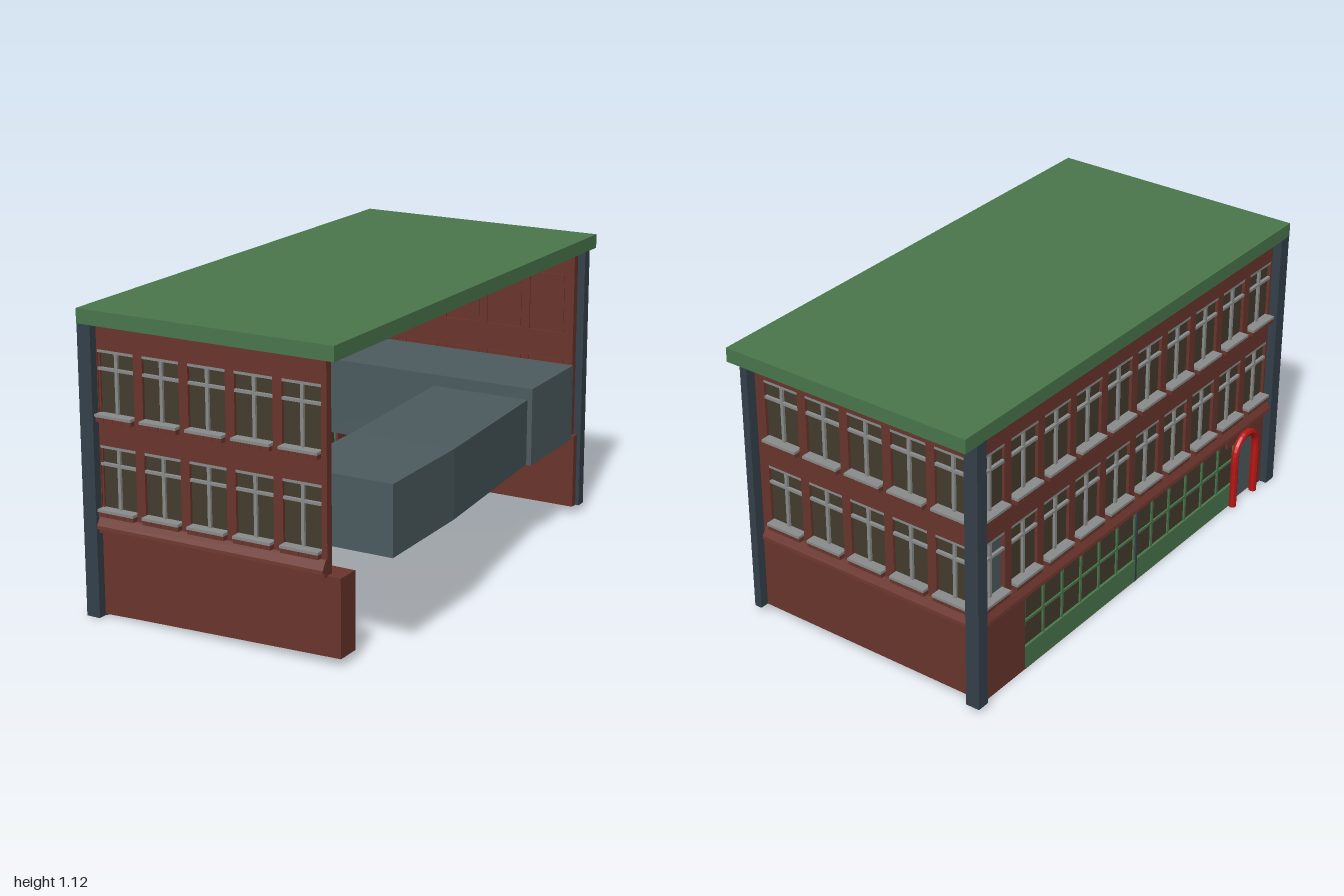
import * as THREE from 'three';

const mat = (color) => new THREE.MeshStandardMaterial({ color, side: THREE.DoubleSide, flatShading: true });
const BRICK = mat(0x6a352c), GREEN = mat(0x4a774d), STEEL = mat(0x35414b), DUCT = mat(0x4d5c60);
const GLASS = mat(0x443c2e), FRAME = mat(0x8a8c8c), RED = mat(0xb81616);

function add(parent, name, geo, material) {
  const m = new THREE.Mesh(geo, material);
  m.name = name;
  parent.add(m);
  return m;
}

// Box given by its min and max on each axis
function box(parent, name, material, x0, x1, y0, y1, z0, z1) {
  const m = add(parent, name, new THREE.BoxGeometry(x1 - x0, y1 - y0, z1 - z0), material);
  m.position.set((x0 + x1) / 2, (y0 + y1) / 2, (z0 + z1) / 2);
  return m;
}

function extrude(points, depth) {
  const shape = new THREE.Shape(points.map(([x, y]) => new THREE.Vector2(x, y)));
  return new THREE.ExtrudeGeometry(shape, { depth, bevelEnabled: false });
}

// Profile in (outward, up), swept along x from x0 to x1
function moulding(parent, name, profile, x0, x1) {
  const geo = extrude(profile.map(([o, y]) => [-o, y]), x1 - x0);
  geo.rotateY(Math.PI / 2); // sweep runs along +x, -o becomes +z
  const m = add(parent, name, geo, BRICK);
  m.position.x = x0;
}

const W = 0.15, T = 0.03; // window width, wall thickness
const FLOORS = [[0.395, 0.632], [0.74, 0.975]];

// Window in wall space: outer face z = 0, outside towards +z
function addWindow(wall, c, y0, y1, glazed, backed) {
  const g = new THREE.Group();
  g.name = 'window';
  wall.add(g);
  const a = c - W / 2, b = c + W / 2, tr = y1 - 0.068;
  if (glazed) box(g, 'pane', GLASS, a, b, y0, y1, -0.02, -0.012);
  if (backed) box(g, 'windowBack', BRICK, a + 0.002, b - 0.002, y0 + 0.002, y1 - 0.002, -0.029, -0.021);
  box(g, 'mullion', FRAME, c - 0.006, c + 0.006, y0, y1, -0.012, -0.002);
  for (const y of [y1 - 0.005, tr]) box(g, 'transom', FRAME, a, b, y - 0.005, y + 0.005, -0.012, 0);
  box(g, 'sill', FRAME, a, b, y0, y0 + 0.01, -0.012, 0.028);
  // Brick course below the sill
  for (let i = 0; i < 4; i++) {
    const s = a + i * W / 4;
    box(g, 'sillBrick', BRICK, s + 0.001, s + W / 4 - 0.001, y0 - 0.017, y0, -0.005, 0.024);
  }
}

// Upper two storeys with their windows and ledge
function upperWall(name, x0, x1, centres, open = () => false, bare = () => false) {
  const wall = new THREE.Group();
  wall.name = name;
  const shape = new THREE.Shape([[x0, 0.32], [x1, 0.32], [x1, 1.066], [x0, 1.066]].map(p => new THREE.Vector2(...p)));
  FLOORS.forEach(([y0, y1]) => centres.forEach(c => {
    shape.holes.push(new THREE.Path([[c - W / 2, y0], [c - W / 2, y1], [c + W / 2, y1], [c + W / 2, y0]]
      .map(p => new THREE.Vector2(...p))));
  }));
  const geo = new THREE.ExtrudeGeometry(shape, { depth: T, bevelEnabled: false });
  geo.translate(0, 0, -T);
  add(wall, 'brickwork', geo, BRICK);
  FLOORS.forEach(([y0, y1], f) => centres.forEach((c, i) => addWindow(wall, c, y0, y1, !open(i, f), !bare(i))));
  const ledge = [[0, 0.315], [0.018, 0.315], [0.018, 0.333], [0.032, 0.333], [0.03, 0.345], [0.01, 0.378], [0, 0.378]];
  moulding(wall, 'ledge', ledge, x0 + 0.02, x1);
  return wall;
}

// Hollow-looking passage through rectangular sections [z, x0, x1, y0, y1]
function passage(sections) {
  const pos = [], idx = [];
  sections.forEach(([z, x0, x1, y0, y1]) => pos.push(x0, y0, z, x1, y0, z, x1, y1, z, x0, y1, z));
  const n = sections.length;
  for (let s = 0; s < n - 1; s++) for (let k = 0; k < 4; k++) {
    const a = s * 4 + k, b = s * 4 + (k + 1) % 4;
    idx.push(a, a + 4, b, b, a + 4, b + 4);
  }
  const e = (n - 1) * 4;
  idx.push(0, 1, 2, 0, 2, 3, e, e + 2, e + 1, e, e + 3, e + 2);
  const geo = new THREE.BufferGeometry();
  geo.setAttribute('position', new THREE.Float32BufferAttribute(pos, 3));
  geo.setIndex(idx);
  const flat = geo.toNonIndexed();
  flat.computeVertexNormals();
  return flat;
}

export function createModel() {
  const g = new THREE.Group();
  g.name = 'building';

  // Roof slab and corner columns
  box(g, 'roof', GREEN, -0.585, 0.44, 1.066, 1.12, -1, 1);
  box(g, 'frontColumn', STEEL, -0.585, -0.53, 0, 1.068, 0.945, 0.998);
  box(g, 'backColumn', STEEL, -0.585, -0.53, 0.02, 1.068, -0.94, -0.89);
  box(g, 'backColumn', STEEL, 0.41, 0.44, 0.03, 1.068, -0.94, -0.9);

  // Upper walls
  const xs = Array.from({ length: 5 }, (_, i) => -0.452 + i * 0.1865);
  const zs = Array.from({ length: 10 }, (_, i) => 0.862 - i * 0.187);
  const front = upperWall('frontWall', -0.55, 0.39, xs);
  front.position.z = 0.965;
  const back = upperWall('backWall', -0.41, 0.55, xs.map(x => -x));
  back.rotation.y = Math.PI;
  back.position.z = -0.9;
  const side = upperWall('sideWall', -0.9, 0.96, zs, (i, f) => i === 9 && f === 0, i => i === 9);
  side.rotation.y = -Math.PI / 2;
  side.position.x = -0.55;
  g.add(front, back, side);

  // Inner ledges along the side wall
  for (const [y0, y1, d] of [[0.325, 0.36, 0.035], [0.715, 0.733, 0.03]])
    box(g, 'innerLedge', BRICK, -0.525, -0.52 + d, y0, y1, -0.88, 0.93);
  for (const z of [0.932, -0.885]) box(g, 'innerLedge', BRICK, -0.52, 0.38, 0.715, 0.733, z - 0.012, z + 0.012);

  // Ground-floor end walls
  const low = add(g, 'frontLowerWall', extrude([[-0.54, 0.005], [-0.4, 0.01], [0.44, 0.032], [0.44, 0.318], [-0.54, 0.318]], 0.095), BRICK);
  low.position.z = 0.868;
  box(g, 'backLowerWall', BRICK, -0.54, 0.425, 0.03, 0.325, -0.905, -0.87);

  // Ground-floor side wall: piers and door surround
  box(g, 'sidePier', BRICK, -0.555, -0.525, 0, 0.325, -0.9, -0.635);
  box(g, 'sidePier', BRICK, -0.555, -0.525, 0, 0.325, 0.87, 0.96);
  box(g, 'doorLintel', BRICK, -0.555, -0.525, 0.27, 0.325, 0.68, 0.87);
  box(g, 'door', DUCT, -0.545, -0.53, 0, 0.27, 0.73, 0.87);

  // Shopfront
  const shop = new THREE.Group();
  shop.name = 'shopfront';
  g.add(shop);
  const z0 = -0.635, z1 = 0.735;
  box(shop, 'shopGlass', GLASS, -0.546, -0.54, 0.09, 0.32, z0, z1);
  box(shop, 'shopBase', GREEN, -0.556, -0.53, 0, 0.095, z0, z1);
  for (const y of [0.2, 0.317]) box(shop, 'shopRail', GREEN, -0.552, -0.534, y - 0.005, y + 0.005, z0, z1);
  for (let i = 0; i <= 12; i++) {
    const z = z0 + (z1 - z0) * i / 12;
    box(shop, 'shopMullion', GREEN, -0.552, -0.534, 0.09, 0.32, z - 0.005, z + 0.005);
  }
  box(shop, 'shopPost', STEEL, -0.557, -0.529, 0, 0.32, 0.052, 0.062);

  // Red arch around the door
  const arch = new THREE.CurvePath();
  const v = (y, z) => new THREE.Vector3(-0.568, y, z);
  const pts = [v(0, 0.72), v(0.12, 0.72), v(0.22, 0.72)];
  for (let i = 1; i < 8; i++) {
    const a = Math.PI * i / 8;
    pts.push(v(0.22 + 0.075 * Math.sin(a), 0.795 - 0.075 * Math.cos(a)));
  }
  pts.push(v(0.22, 0.87), v(0.12, 0.87), v(0, 0.87));
  for (let i = 1; i < pts.length; i++) arch.add(new THREE.LineCurve3(pts[i - 1], pts[i]));
  add(g, 'doorArch', new THREE.TubeGeometry(new THREE.CatmullRomCurve3(pts), 36, 0.015, 8), RED);

  // Raised passage, cross passage and sloping stair tunnel
  add(g, 'raisedPassage', passage([
    [0.865, 0.18, 0.582, 0.385, 0.642], [0.42, 0.17, 0.572, 0.385, 0.642], [-0.43, 0.03, 0.432, 0.33, 0.585]]), DUCT);
  add(g, 'crossPassage', passage([[-0.43, -0.535, 0.452, 0.328, 0.63], [-0.82, -0.535, 0.437, 0.328, 0.63]]), DUCT);
  const stair = add(g, 'stairTunnel', extrude(
    [[-0.53, 0], [-0.43, 0], [0.19, 0.387], [0.19, 0.64], [0.1, 0.64], [-0.44, 0.27], [-0.53, 0.27]], 0.125), DUCT);
  stair.position.z = 0.738;

  return g;
}
